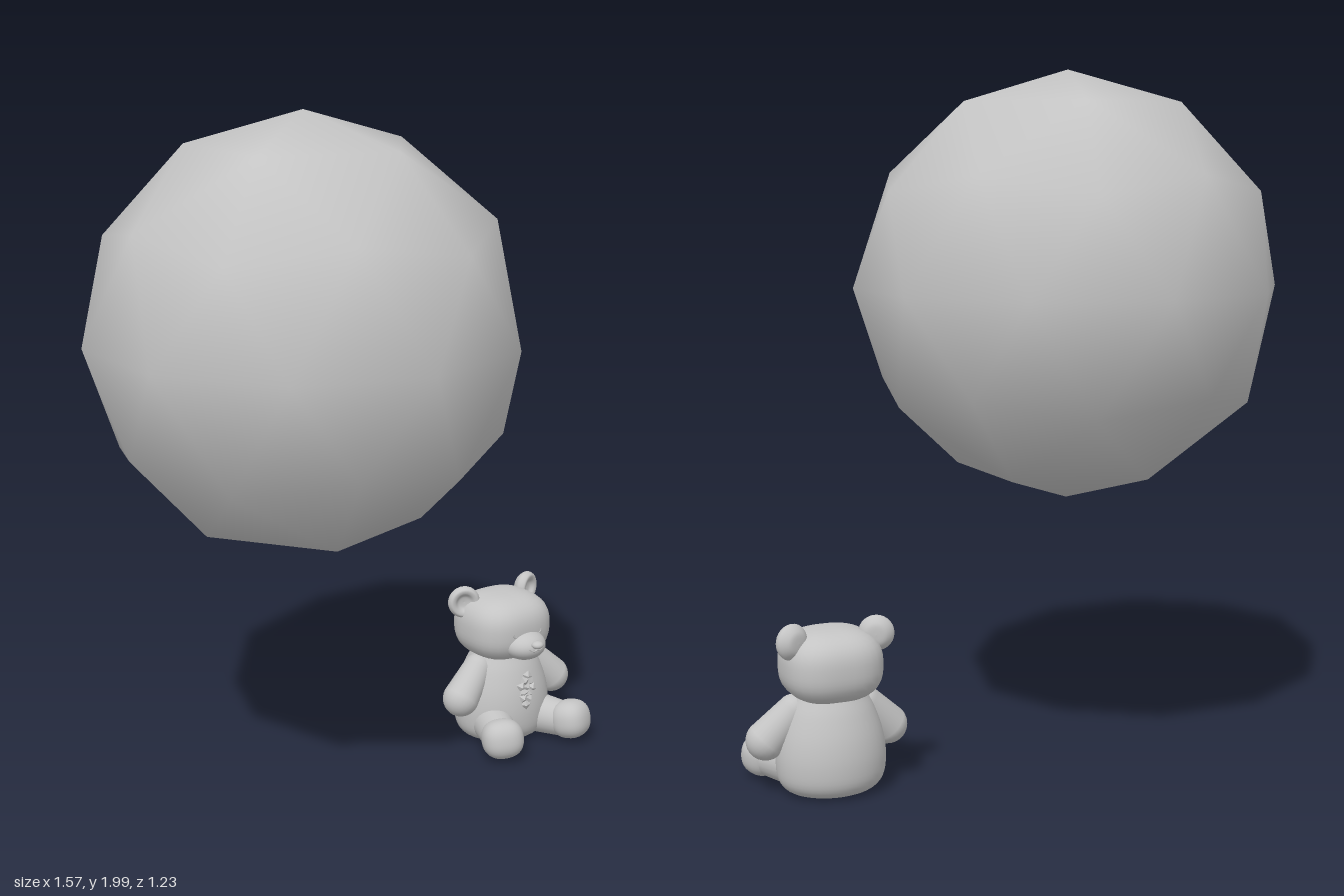
import * as THREE from 'three';
import { mergeVertices } from 'three/addons/utils/BufferGeometryUtils.js';

const grey = new THREE.MeshStandardMaterial({ color: 0xc4c4c4 });
grey.name = 'plain grey';

function add(parent, name, geometry, position = [0, 0, 0]) {
  const mesh = new THREE.Mesh(geometry, grey);
  mesh.name = name;
  mesh.position.set(...position);
  parent.add(mesh);
  return mesh;
}

// Ellipsoid whose sides grow boxier as the exponent rises above 2
function softBlob(rx, ry, rz, exponent = 2) {
  const g = new THREE.SphereGeometry(1, 36, 24);
  const p = g.attributes.position;
  for (let i = 0; i < p.count; i++) {
    const v = [p.getX(i), p.getY(i), p.getZ(i)];
    const k = v.reduce((s, c) => s + Math.abs(c) ** exponent, 0) ** (-1 / exponent);
    p.setXYZ(i, v[0] * k * rx, v[1] * k * ry, v[2] * k * rz);
  }
  g.deleteAttribute('uv');
  g.deleteAttribute('normal');
  const merged = mergeVertices(g, 1e-5);
  merged.computeVertexNormals();
  return merged;
}

// Smooth turned shape through a few [radius, height] points
function turned(points, segments = 36) {
  const curve = new THREE.SplineCurve(points.map(([x, y]) => new THREE.Vector2(x, y)));
  const profile = curve.getPoints(32).map((p) => new THREE.Vector2(Math.max(p.x, 0), p.y));
  return new THREE.LatheGeometry(profile, segments);
}

// Tapered limb with round ends, running from a to b
function limb(parent, name, a, b, ra, rb) {
  const from = new THREE.Vector3(...a);
  const axis = new THREE.Vector3(...b).sub(from);
  const length = axis.length();
  const profile = [];
  for (let i = 0; i <= 8; i++) {
    const t = (i / 8) * Math.PI / 2;
    profile.push(new THREE.Vector2(Math.sin(t) * ra, -Math.cos(t) * ra));
  }
  for (let i = 0; i <= 8; i++) {
    const t = (i / 8) * Math.PI / 2;
    profile.push(new THREE.Vector2(Math.cos(t) * rb, length + Math.sin(t) * rb));
  }
  const mesh = add(parent, name, new THREE.LatheGeometry(profile, 24), a);
  mesh.quaternion.setFromUnitVectors(new THREE.Vector3(0, 1, 0), axis.normalize());
  return mesh;
}

function createBear() {
  const bear = new THREE.Group();
  bear.name = 'bear';

  // Pear-shaped body, a little shallower than wide
  const body = add(bear, 'body', turned([
    [0, 0.01], [0.1, 0.01], [0.145, 0.04], [0.156, 0.1],
    [0.148, 0.17], [0.125, 0.24], [0.1, 0.29], [0.085, 0.33],
  ]), [0, 0, -0.045]);
  body.scale.z = 0.86;

  // Head and muzzle
  add(bear, 'head', softBlob(0.14, 0.103, 0.132, 2.7), [0, 0.37, -0.05]);
  add(bear, 'muzzle', softBlob(0.068, 0.046, 0.065), [0, 0.332, 0.062]);
  add(bear, 'nose', softBlob(0.019, 0.012, 0.018), [0, 0.349, 0.126]);

  // Curved mouth under the nose
  for (const s of [-1, 1]) {
    const curve = new THREE.QuadraticBezierCurve3(
      new THREE.Vector3(0, 0.334, 0.127),
      new THREE.Vector3(s * 0.012, 0.324, 0.124),
      new THREE.Vector3(s * 0.025, 0.337, 0.121));
    add(bear, 'mouth', new THREE.TubeGeometry(curve, 8, 0.003, 6));
  }

  for (const s of [-1, 1]) {
    // Sleepy eyes
    const eye = add(bear, 'eye', new THREE.TorusGeometry(0.014, 0.004, 6, 12, Math.PI),
      [s * 0.04, 0.378, 0.077]);
    eye.rotation.z = Math.PI;

    // Dished ears, turned outwards
    const ear = add(bear, 'ear', turned([
      [0, -0.028], [0.03, -0.024], [0.05, -0.002], [0.044, 0.018],
      [0.031, 0.018], [0.018, 0.007], [0, 0.004],
    ], 28).rotateX(Math.PI / 2), [s * 0.122, 0.451, -0.088]);
    ear.rotation.y = s * 0.4;

    // Arms hanging at the sides
    limb(bear, 'arm', [s * 0.105, 0.245, -0.035], [s * 0.18, 0.165, -0.02], 0.045, 0.056);

    // Legs stretched forward with splayed feet
    limb(bear, 'leg', [s * 0.07, 0.075, -0.01], [s * 0.128, 0.07, 0.12], 0.066, 0.054);
    const foot = add(bear, 'foot', softBlob(0.064, 0.06, 0.058, 2.4), [s * 0.136, 0.076, 0.135]);
    foot.rotation.set(-0.2, s * 0.4, 0);
  }

  // Ruffled belly patch made of overlapping faceted scales
  const patch = new THREE.Group();
  patch.name = 'bellyPatch';
  patch.position.set(0, 0.185, 0.08);
  patch.rotation.set(-0.2, 0, -0.2);
  [1, 2, 3, 2, 2, 1].forEach((count, row) => {
    for (let i = 0; i < count; i++) {
      const scale = add(patch, 'scale', new THREE.OctahedronGeometry(0.016),
        [(i - (count - 1) / 2) * 0.021, 0.045 - row * 0.018, 0]);
      scale.scale.set(1, 1.1, 0.7);
      scale.rotation.set(0.3, (i % 2) * 0.6 - 0.3, row * 0.7);
    }
  });
  bear.add(patch);
  return bear;
}

export function createModel() {
  const model = new THREE.Group();
  model.name = 'bearAndBall';

  // Faceted ball standing on one of its corners
  const ball = new THREE.IcosahedronGeometry(0.615, 1);
  ball.rotateZ(-Math.atan(2 / (1 + Math.sqrt(5))));
  add(model, 'facetedBall', ball, [-0.205, 1.385, 0]);

  const bear = createBear();
  bear.position.x = 0.549;
  model.add(bear);
  return model;
}
